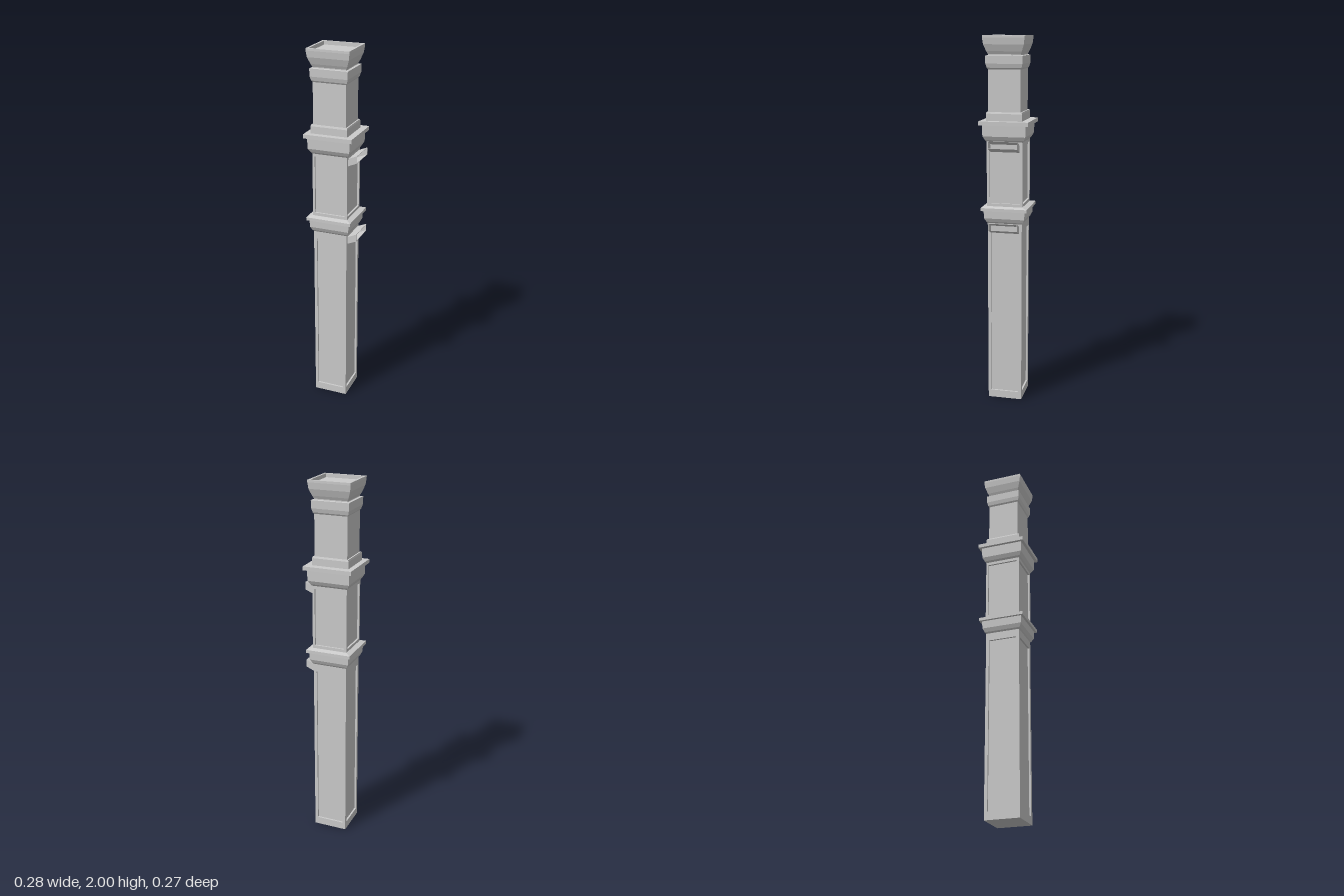
import * as THREE from 'three';

const material = new THREE.MeshStandardMaterial({ color: 0xcccccc, flatShading: true, side: THREE.DoubleSide });

function addMesh(parent, name, geometry) {
  const mesh = new THREE.Mesh(geometry, material);
  mesh.name = name;
  parent.add(mesh);
  return mesh;
}

// Square moulding swept around the post from [half width, height] points, bottom to top
function moulding(parent, name, profile) {
  const points = profile.map(([h, y]) => new THREE.Vector2(h * Math.SQRT2, y));
  const geometry = new THREE.LatheGeometry(points, 4, Math.PI / 4).toNonIndexed();
  geometry.computeVertexNormals();
  return addMesh(parent, name, geometry);
}

// Square section with a recessed rectangular panel on each of its four sides
function panelledSection(parent, name, half, y0, y1, panelHalf, p0, p1) {
  const depth = 0.01;
  const section = new THREE.Group();
  section.name = name;
  parent.add(section);

  const core = half - depth;
  const box = new THREE.BoxGeometry(core * 2, y1 - y0, core * 2);
  box.translate(0, (y0 + y1) / 2, 0);
  addMesh(section, 'panelCore', box);

  const rectangle = (Type, w, a, b) => {
    const path = new Type();
    path.moveTo(-w, a).lineTo(w, a).lineTo(w, b).lineTo(-w, b).closePath();
    return path;
  };
  for (let i = 0; i < 4; i++) {
    const width = i % 2 ? core : half; // side frames fit between the front and back ones
    const shape = rectangle(THREE.Shape, width, y0, y1);
    shape.holes.push(rectangle(THREE.Path, panelHalf, p0, p1));
    const frame = new THREE.ExtrudeGeometry(shape, { depth, bevelEnabled: false });
    frame.translate(0, 0, core);
    frame.rotateY(i * Math.PI / 2);
    addMesh(section, 'panelFrame', frame);
  }
}

// Sloping rail bracket: a thin rectangular sleeve, open at its outer end
function bracket(parent, name, y) {
  const x0 = 0.088, x1 = 0.144, rise = 0.024, height = 0.04, half = 0.079;
  const shape = new THREE.Shape();
  const hole = new THREE.Path();
  const t = 0.002;
  shape.moveTo(-half, 0).lineTo(half, 0).lineTo(half, height).lineTo(-half, height).closePath();
  hole.moveTo(-half + t, t).lineTo(half - t, t).lineTo(half - t, height - t).lineTo(-half + t, height - t).closePath();
  shape.holes.push(hole);
  const geometry = new THREE.ExtrudeGeometry(shape, { depth: x1 - x0, bevelEnabled: false });
  geometry.rotateY(Math.PI / 2);
  // shear upward toward the outer end
  const pos = geometry.attributes.position;
  for (let i = 0; i < pos.count; i++) {
    pos.setY(i, pos.getY(i) + rise * pos.getX(i) / (x1 - x0));
  }
  geometry.translate(x0, y, 0);
  geometry.computeVertexNormals();
  addMesh(parent, name, geometry);
}

export function createModel() {
  const model = new THREE.Group();
  model.name = 'newelPost';
  const post = new THREE.Group();
  post.name = 'post';
  post.position.x = -0.006;
  model.add(post);

  // Lower panelled body and its crown
  panelledSection(post, 'lowerBody', 0.094, 0, 1.03, 0.077, 0.042, 0.97);
  moulding(post, 'lowerMoulding', [[0.094, 1.012], [0.1, 1.02], [0.11, 1.04], [0.112, 1.082]]);
  moulding(post, 'lowerLedge', [[0, 1.082], [0.125, 1.082], [0.125, 1.099], [0.099, 1.106], [0, 1.106]]);

  // Middle panelled body and its crown
  panelledSection(post, 'middleBody', 0.097, 1.1, 1.47, 0.084, 1.122, 1.437);
  moulding(post, 'middleMoulding', [[0.097, 1.453], [0.104, 1.462], [0.115, 1.482], [0.117, 1.541]]);
  moulding(post, 'middleLedge', [[0, 1.541], [0.133, 1.541], [0.133, 1.562], [0, 1.562]]);

  // Upper plain shaft, base block, collar and hollow-topped cap
  const top = new THREE.Group();
  top.name = 'upperPost';
  top.position.set(-0.003, 0, 0.003);
  top.scale.set(1.02, 1, 0.98);
  post.add(top);
  moulding(top, 'shaftBase', [[0.099, 1.562], [0.099, 1.6], [0.096, 1.608], [0, 1.608]]);
  moulding(top, 'shaft', [[0.0885, 1.6], [0.0885, 1.91]]);
  moulding(top, 'collar', [[0.0885, 1.828], [0.094, 1.836], [0.1, 1.857], [0.101, 1.898], [0.0885, 1.9]]);
  moulding(top, 'cap', [[0.0885, 1.905], [0.096, 1.92], [0.109, 1.955], [0.1135, 1.988],
    [0.1135, 2], [0.102, 2], [0.102, 1.98], [0, 1.98]]);

  // Rail brackets on the left side
  bracket(post, 'lowerBracket', 0.958);
  bracket(post, 'upperBracket', 1.398);
  return model;
}
